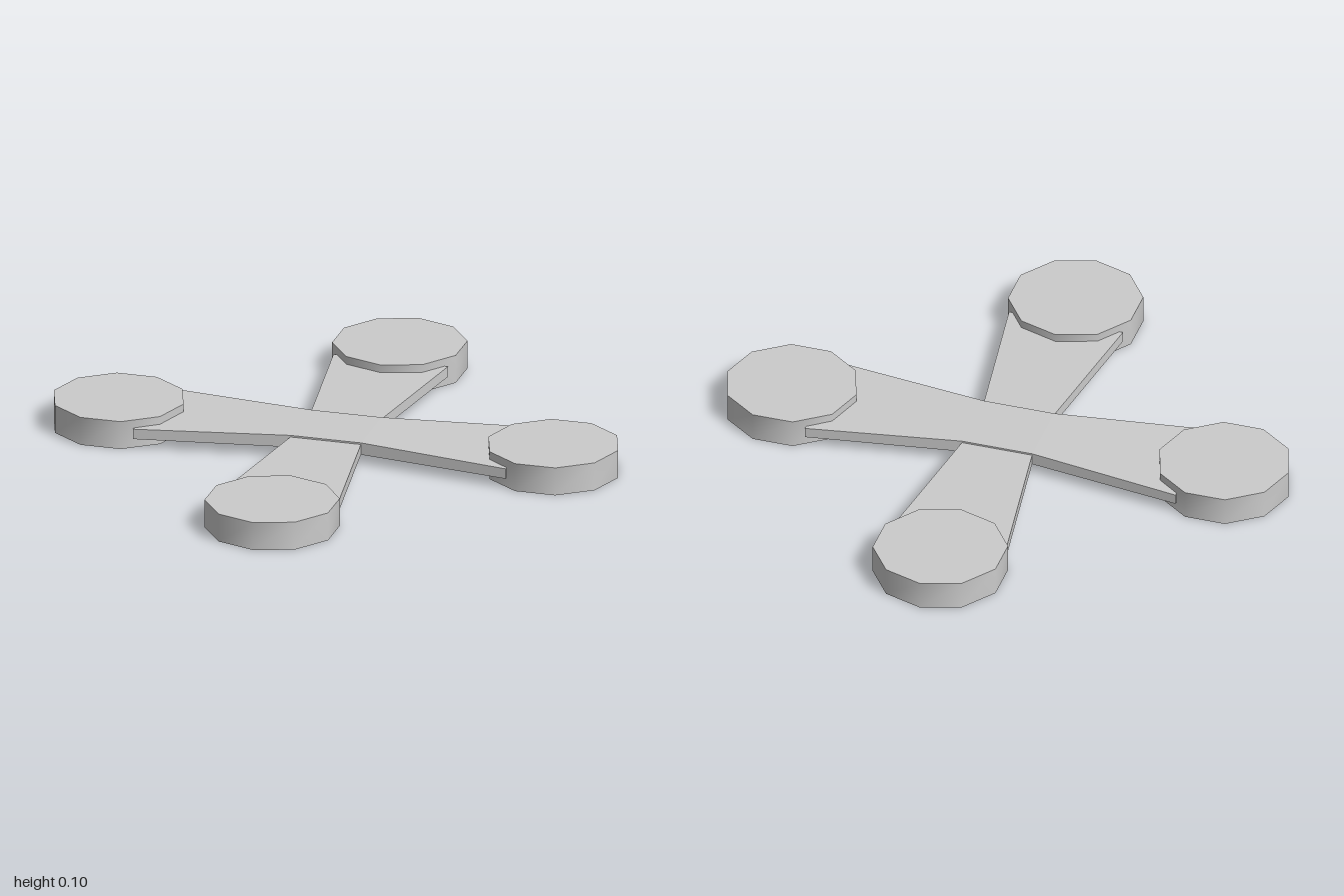
import * as THREE from 'three';
import { toCreasedNormals } from 'three/addons/utils/BufferGeometryUtils.js';

const material = new THREE.MeshStandardMaterial({ color: 0xcccccc });

// Bar along x, narrow at the middle and wider at both ends
function barGeometry(endTop, middleTop) {
  const bottom = 0.035, endX = 0.66, waistX = 0.125;
  const box = new THREE.BoxGeometry(3, 1, 2, 3, 1, 1);
  const p = box.attributes.position;
  for (let i = 0; i < p.count; i++) {
    const isEnd = Math.abs(p.getX(i)) > 1;
    const x = Math.sign(p.getX(i)) * (isEnd ? endX : waistX);
    const z = Math.sign(p.getZ(i)) * (isEnd ? 0.203 : 0.125);
    const y = p.getY(i) < 0 ? bottom : (isEnd ? endTop : middleTop);
    p.setXYZ(i, x, y, z);
  }
  const flat = box.toNonIndexed();
  flat.computeVertexNormals();
  return flat;
}

export function createModel() {
  const group = new THREE.Group();
  const add = (name, geometry) => {
    const mesh = new THREE.Mesh(geometry, material);
    mesh.name = name;
    group.add(mesh);
    return mesh;
  };

  // Crossed bars, the sideways one standing slightly proud at the middle
  add('sideBar', barGeometry(0.071, 0.078));
  add('lengthBar', barGeometry(0.072, 0.072)).rotation.y = Math.PI / 2;

  // Ten-sided pads, each with a corner pointing outwards
  const padGeometry = toCreasedNormals(
    new THREE.CylinderGeometry(0.23, 0.23, 0.1, 10), Math.PI / 4);
  ['frontPad', 'leftPad', 'backPad', 'rightPad'].forEach((name, i) => {
    const angle = i * Math.PI / 2;
    const pad = add(name, padGeometry);
    pad.position.set(0.77 * Math.sin(angle), 0.05, 0.77 * Math.cos(angle));
    pad.rotation.y = angle;
  });
  return group;
}
